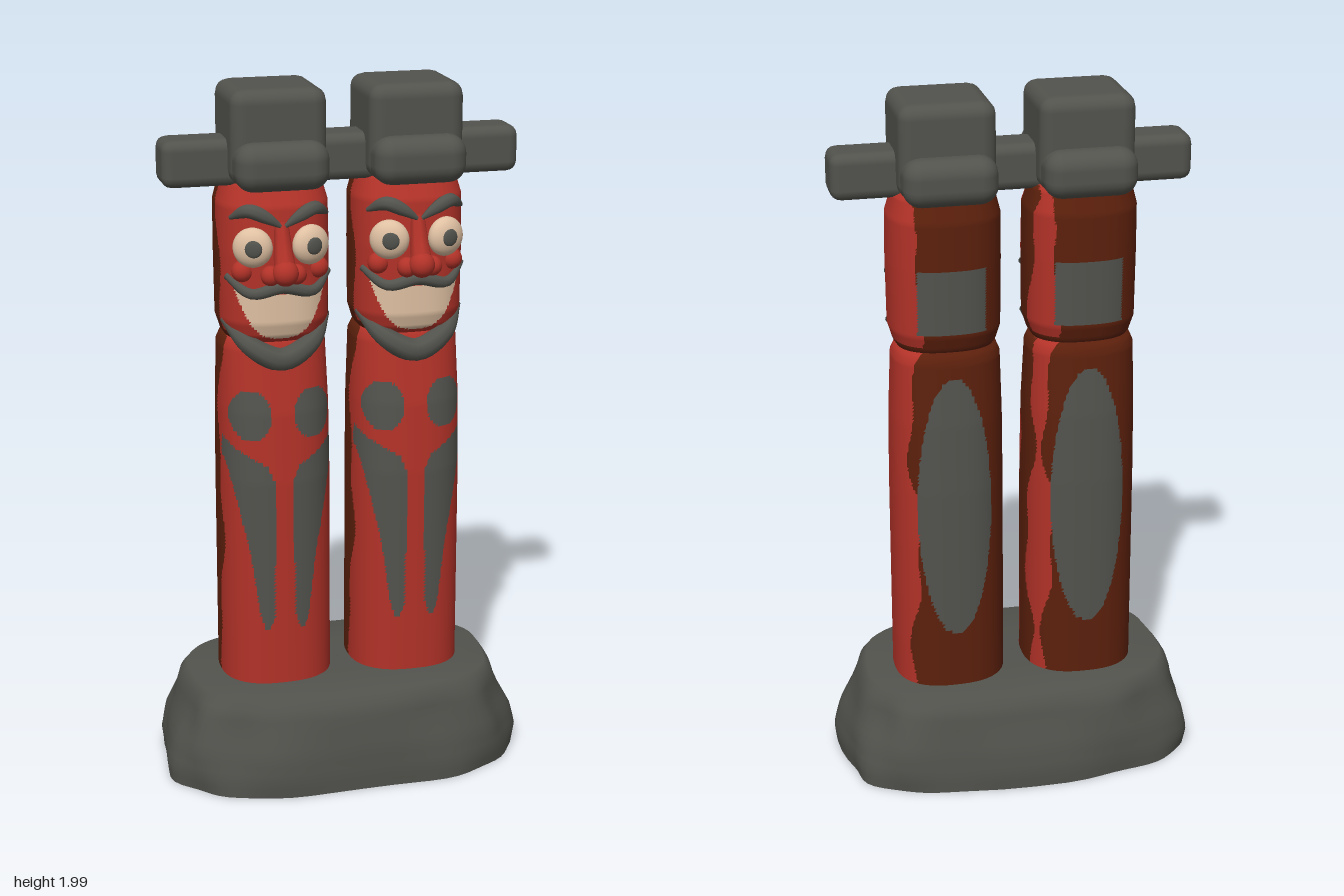
import * as THREE from 'three';
import { RoundedBoxGeometry } from 'three/addons/geometries/RoundedBoxGeometry.js';

const material = (name, color) => {
  const m = new THREE.MeshStandardMaterial({ color, side: THREE.DoubleSide });
  m.name = name;
  return m;
};

export function createModel() {
  const red = material('red paint', 0xb23228);
  const brown = material('dark brown stain', 0x5c200c);
  const grey = material('dark grey', 0x52534d);
  const cream = material('cream', 0xdfc0a2);
  const palette = [red, brown, grey, cream];
  const RED = 0, BROWN = 1, GREY = 2, CREAM = 3;

  const model = new THREE.Group();
  model.name = 'guardianPosts';

  function add(parent, name, geometry, mat, x = 0, y = 0, z = 0) {
    const mesh = new THREE.Mesh(geometry, mat);
    mesh.name = name;
    mesh.position.set(x, y, z);
    parent.add(mesh);
    return mesh;
  }

  const superPow = (v, n) => Math.sign(v) * Math.pow(Math.abs(v), 2 / n);

  // Superellipse loft through levels [y, rx, rz, zCentre]; paint picks a material per face
  function loft(levels, { seg, rows, power = 2.5, lump = () => 1, paint = () => 0 }) {
    const rings = [];
    for (let i = 0; i < levels.length - 1; i++) {
      const [a, b] = [levels[i], levels[i + 1]];
      const steps = Math.max(1, Math.round(rows * Math.abs(b[0] - a[0])));
      for (let s = 0; s < steps; s++) rings.push(a.map((v, k) => v + (b[k] - v) * s / steps));
    }
    rings.push(levels[levels.length - 1]);
    const pos = [];
    for (const [y, rx, rz, zc] of rings) {
      for (let j = 0; j < seg; j++) {
        const t = (j / seg) * Math.PI * 2, k = lump(t, y);
        pos.push(rx * k * superPow(Math.cos(t), power), y, zc + rz * k * superPow(Math.sin(t), power));
      }
    }
    const buckets = [[], [], [], []];
    const face = (...ids) => {
      const mean = (k) => ids.reduce((sum, id) => sum + pos[id * 3 + k], 0) / 3;
      buckets[paint(mean(0), mean(1), mean(2))].push(...ids);
    };
    for (let i = 0; i < rings.length - 1; i++) {
      for (let j = 0; j < seg; j++) {
        const a = i * seg + j, b = i * seg + (j + 1) % seg, d = a + seg, c = b + seg;
        face(a, d, b);
        face(b, d, c);
      }
    }
    const g = new THREE.BufferGeometry();
    g.setAttribute('position', new THREE.Float32BufferAttribute(pos, 3));
    g.setIndex(buckets.flat());
    let start = 0;
    buckets.forEach((ids, m) => {
      if (ids.length) g.addGroup(start, ids.length, m);
      start += ids.length;
    });
    g.computeVertexNormals();
    return g;
  }

  // Front surface of the head at a given x
  const faceZ = (x) => -0.01 + 0.145 * Math.pow(1 - Math.pow(Math.min(Math.abs(x) / 0.156, 1), 2.5), 0.4);

  // Tapered tube through [x, y, z] points
  function strand(points, radius, taper) {
    const curve = new THREE.CatmullRomCurve3(points.map((p) => new THREE.Vector3(...p)));
    const n = 24, sides = 8;
    const g = new THREE.TubeGeometry(curve, n, radius, sides);
    const p = g.attributes.position, v = new THREE.Vector3();
    for (let i = 0; i < p.count; i++) {
      const u = Math.floor(i / (sides + 1)) / n, c = curve.getPointAt(u);
      v.fromBufferAttribute(p, i).sub(c).multiplyScalar(taper(u)).add(c);
      p.setXYZ(i, v.x, v.y, v.z);
    }
    g.computeVertexNormals();
    return g;
  }
  const onFace = (pts, lift) => pts.map(([x, y]) => [x, y, faceZ(x) + lift]);
  const bothEnds = (u) => 0.25 + 0.75 * Math.sin(Math.PI * u);

  // Piecewise-linear lookup for the painted edges
  const lerpTable = (table, y) => {
    for (let i = 0; i < table.length - 1; i++) {
      const [y0, v0] = table[i], [y1, v1] = table[i + 1];
      if (y >= y0 && y <= y1) return v0 + (v1 - v0) * (y - y0) / (y1 - y0);
    }
    return 0;
  };
  const outerEdge = [[0.46, 0.055], [0.5, 0.07], [0.69, 0.095], [0.92, 0.143], [1.04, 0.17]];
  const innerEdge = [[0.46, 0.045], [0.5, 0.03], [0.9, 0.025], [0.95, 0.045], [1.0, 0.13], [1.04, 0.17]];

  // Weathered brown on the back and right flank, red elsewhere
  function stain(x, y, z, innerSide) {
    const wobble = 0.02 * Math.sin(y * 9 + x * 12) + 0.012 * Math.sin(y * 23 + 1);
    if (-0.6 * x - z > 0.075 + wobble) return BROWN;
    if (innerSide && x > 0.125 && z < 0.03 + wobble && z > -0.08 + wobble) return BROWN;
    return RED;
  }

  // Rock base, open underneath
  add(model, 'rockBase', loft([
    [0.01, 0.515, 0.31, 0], [0.06, 0.52, 0.313, 0], [0.13, 0.505, 0.308, 0], [0.2, 0.475, 0.295, 0],
    [0.265, 0.455, 0.283, 0], [0.292, 0.435, 0.262, 0], [0.295, 0.2, 0.12, 0], [0.295, 0.001, 0.001, 0],
  ], {
    seg: 72, rows: 36, power: 2.9, paint: () => GREY,
    lump: (t, y) => 1 + (y < 0.25 ? 0.022 : 0.01) * (Math.sin(7 * t + 9 * y) * 0.6 + Math.sin(11 * t + 1 - 14 * y) * 0.5),
  }), palette);

  // Beam through both hats
  add(model, 'crossBeam', new RoundedBoxGeometry(1.0, 0.13, 0.132, 2, 0.03), grey, 0.005, 1.797, 0.003);

  for (const [side, cx] of [['right', -0.185], ['left', 0.197]]) {
    const post = new THREE.Group();
    post.name = side + 'Post';
    post.position.x = cx;
    model.add(post);
    const innerSide = side === 'right';

    // Trunk with painted chest spots, leg shapes and back panel
    add(post, 'trunk', loft([
      [0.2, 0.16, 0.156, -0.015], [0.9, 0.159, 0.157, -0.015], [1.1, 0.157, 0.148, -0.018],
      [1.28, 0.151, 0.128, -0.025], [1.305, 0.14, 0.118, -0.025], [1.315, 0.12, 0.1, -0.025],
    ], {
      seg: 128, rows: 95,
      paint: (x, y, z) => {
        const ax = Math.abs(x);
        if (z > 0.03) {
          if (Math.hypot((ax - 0.088) / 0.055, (y - 1.095) / 0.072) < 1) return GREY;
          if (y > 0.46 && y < 1.04 && ax > lerpTable(innerEdge, y) && ax < lerpTable(outerEdge, y)) return GREY;
        }
        if (z < -0.07 && Math.hypot(x / 0.105, (y - 0.85) / 0.39) < 1) return GREY;
        return stain(x, y, z, innerSide);
      },
    }), palette);

    // Head with painted grin and back panel
    add(post, 'head', loft([
      [1.3, 0.13, 0.11, -0.015], [1.32, 0.143, 0.13, -0.01], [1.36, 0.155, 0.144, -0.01],
      [1.55, 0.157, 0.146, -0.01], [1.68, 0.156, 0.14, -0.014], [1.74, 0.14, 0.115, -0.02], [1.76, 0.11, 0.09, -0.02],
    ], {
      seg: 128, rows: 130,
      paint: (x, y, z) => {
        const ax = Math.abs(x);
        const grinBottom = 1.315 + 0.13 * Math.pow(ax / 0.122, 3);
        if (z > 0.03 && ax < 0.13 && y > grinBottom && y < 1.445 + 1.2 * x * x) return CREAM;
        if (z < -0.05 && ax < 0.095 && y > 1.37 && y < 1.55) return GREY;
        if (z < 0.06 && y < 1.33) return BROWN;
        return stain(x, y, z, innerSide);
      },
    }), palette);

    // Chin beard and moustache
    add(post, 'chinBeard', strand(onFace(
      [[-0.148, 1.36], [-0.085, 1.295], [0, 1.255], [0.085, 1.295], [0.148, 1.36]], -0.018), 0.034, bothEnds), grey);
    add(post, 'moustache', strand(onFace(
      [[-0.143, 1.49], [-0.085, 1.448], [0, 1.465], [0.085, 1.448], [0.143, 1.49]], 0.005), 0.018,
    (u) => 0.5 + 0.5 * Math.sin(Math.PI * u)), grey);

    // Nose: bridge, tip and nostrils
    add(post, 'noseBridge', strand([[0, 1.64, 0.125], [0, 1.57, 0.145], [0, 1.51, 0.17]], 0.032, (u) => 0.6 + 0.4 * u), red);
    add(post, 'noseTip', new THREE.SphereGeometry(0.036, 20, 14), red, 0, 1.512, 0.172);

    for (const s of [-1, 1]) {
      add(post, 'nostril', new THREE.SphereGeometry(0.028, 16, 12), red, s * 0.036, 1.502, 0.15);

      // Bulging eye with pupil
      const eye = new THREE.Group();
      eye.name = 'eye';
      eye.position.set(s * 0.08, 1.577, faceZ(0.08) + 0.004);
      eye.rotation.y = s * 0.35;
      post.add(eye);
      add(eye, 'eyeball', new THREE.SphereGeometry(0.055, 24, 16), cream).scale.z = 0.6;
      add(eye, 'pupil', new THREE.SphereGeometry(0.024, 16, 10), grey, -s * 0.006, 0.002, 0.03).scale.z = 0.3;

      // Slanted brow and red cheek
      add(post, 'brow', strand(onFace(
        [[s * 0.135, 1.655], [s * 0.09, 1.678], [s * 0.045, 1.66], [s * 0.006, 1.635]], 0.012), 0.02, bothEnds), grey);
      add(post, 'cheek', new THREE.SphereGeometry(0.03, 16, 12), red, s * 0.105, 1.508, faceZ(0.105) - 0.006);
    }

    // Hat: wide brim and tall crown
    add(post, 'hatBrim', new RoundedBoxGeometry(0.258, 0.132, 0.38, 3, 0.05), grey, 0, 1.797, 0);
    add(post, 'hatCrown', new RoundedBoxGeometry(0.266, 0.26, 0.262, 2, 0.04), grey, 0, 1.87, 0);
  }
  return model;
}
